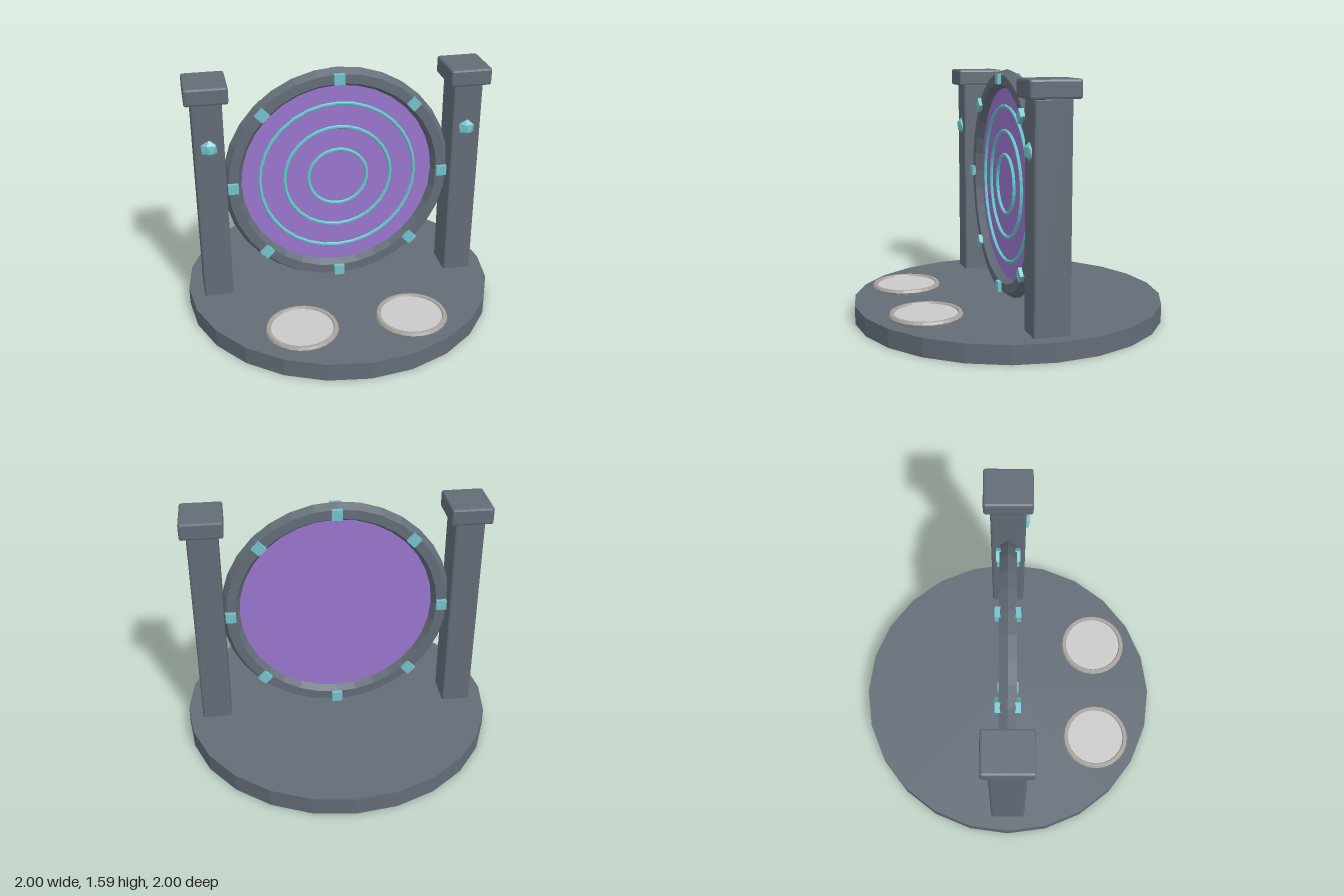
import * as THREE from 'three';
import { RoundedBoxGeometry } from 'three/addons/geometries/RoundedBoxGeometry.js';

function material(name, color, double = false) {
  const m = new THREE.MeshStandardMaterial({ color, flatShading: true });
  m.name = name;
  if (double) m.side = THREE.DoubleSide;
  return m;
}

export function createModel() {
  const stone = material('slate stone', 0x636c77);
  const veil = material('purple veil', 0x9a76ce, true);
  const glow = material('turquoise glow', 0x66cccc);
  const gem = material('pale cyan gem', 0x74c2cc);
  const rimGrey = material('warm grey rim', 0xa8a4a0);
  const padGrey = material('light grey pad', 0xcacaca);

  const model = new THREE.Group();
  model.name = 'portal';
  const add = (name, geometry, mat, x, y, z, parent = model) => {
    const mesh = new THREE.Mesh(geometry, mat);
    mesh.name = name;
    mesh.position.set(x, y, z);
    parent.add(mesh);
    return mesh;
  };

  // Round base
  add('base', new THREE.CylinderGeometry(1, 1, 0.115, 24), stone, 0, 0.0575, 0);

  // Upright gate: six-sided ring, thin veil and ripples on the front
  const gate = new THREE.Group();
  gate.name = 'gate';
  gate.position.y = 0.85;
  model.add(gate);
  add('gateRing', new THREE.TorusGeometry(0.675, 0.06, 6, 32), stone, 0, 0, 0, gate);
  const disc = add('veil', new THREE.CylinderGeometry(0.62, 0.62, 0.012, 32), veil, 0, 0, 0, gate);
  disc.rotation.x = Math.PI / 2;
  for (const r of [0.19, 0.345, 0.503]) {
    add('ripple', new THREE.TorusGeometry(r, 0.011, 6, 32), glow, 0, 0, 0.014, gate);
  }

  // Eight gem blocks through the ring
  for (let i = 0; i < 8; i++) {
    const a = (i * Math.PI) / 4;
    const block = add('gemBlock', new THREE.BoxGeometry(0.066, 0.066, 0.15), gem,
      0.675 * Math.cos(a), 0.675 * Math.sin(a), 0, gate);
    block.rotation.z = a;
  }

  for (const side of [-1, 1]) {
    // Pillar with cap and a crystal set in its front
    const x = side * 0.81;
    add('pillar', new RoundedBoxGeometry(0.187, 1.36, 0.225, 1, 0.015), stone, x, 0.78, 0);
    add('pillarCap', new RoundedBoxGeometry(0.262, 0.11, 0.305, 1, 0.014), stone, x, 1.505, 0);
    const crystal = add('crystal', new THREE.IcosahedronGeometry(0.058, 0), gem, x, 1.16, 0.11);
    crystal.rotation.z = 0.5;
    crystal.scale.z = 0.6;

    // Floor pad with raised rim
    const px = side * 0.346;
    const rim = add('padRim', new THREE.TorusGeometry(0.207, 0.018, 6, 24), rimGrey, px, 0.137, 0.613);
    rim.rotation.x = -Math.PI / 2;
    add('pad', new THREE.CylinderGeometry(0.195, 0.195, 0.03, 24), padGrey, px, 0.128, 0.613);
  }
  return model;
}
